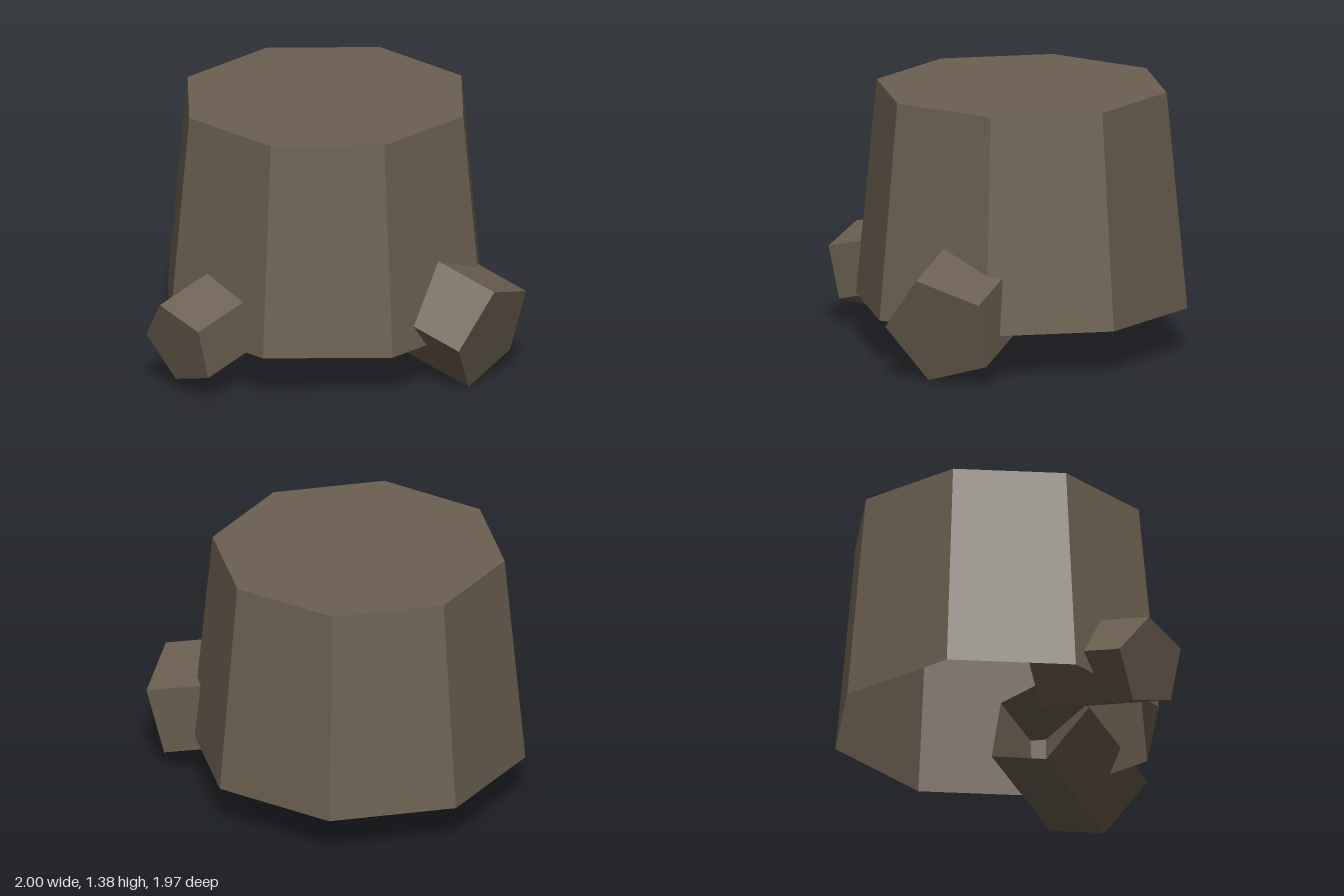
import * as THREE from 'three';

const bark = new THREE.MeshStandardMaterial({ color: 0x6b5f50, flatShading: true, side: THREE.DoubleSide });
bark.name = 'bark brown';

// Faceted prism, closed on top and open underneath
function openPrism(topRadius, bottomRadius, height, sides) {
  const geometry = new THREE.CylinderGeometry(topRadius, bottomRadius, height, sides);
  const bottomCap = geometry.groups[2].start;
  geometry.setIndex(Array.from(geometry.index.array).slice(0, bottomCap));
  geometry.clearGroups();
  return geometry;
}

// Cut root stub: centre of the cut face, outward axis, and direction to one corner
function rootStub(name, centre, axis, corner, radius, length) {
  const geometry = openPrism(radius, radius, length, 5);
  geometry.translate(0, -length / 2, 0);
  const y = new THREE.Vector3(...axis).normalize();
  const x = new THREE.Vector3().crossVectors(y, new THREE.Vector3(...corner)).normalize();
  const z = new THREE.Vector3().crossVectors(x, y);
  geometry.applyMatrix4(new THREE.Matrix4().makeBasis(x, y, z));
  const mesh = new THREE.Mesh(geometry, bark);
  mesh.name = name;
  mesh.position.set(...centre);
  return mesh;
}

export function createModel() {
  const group = new THREE.Group();
  group.name = 'treeStump';

  // Eight-sided tapering trunk, hollow from below
  const trunk = new THREE.Mesh(openPrism(0.77, 0.88, 1.142, 8), bark);
  trunk.name = 'trunk';
  trunk.position.set(-0.12, 0.817, -0.105);
  group.add(trunk);

  // Two five-sided root stubs sloping down and outward
  group.add(
    rootStub('frontRoot', [-0.56, 0.288, 0.867], [-0.41, -0.25, 0.88], [0.16, 0.137, 0.116], 0.239, 0.67),
    rootStub('leftRoot', [0.896, 0.289, 0.117], [0.94, -0.274, 0.203], [0.101, 0.173, -0.233], 0.306, 0.64),
  );
  return group;
}
